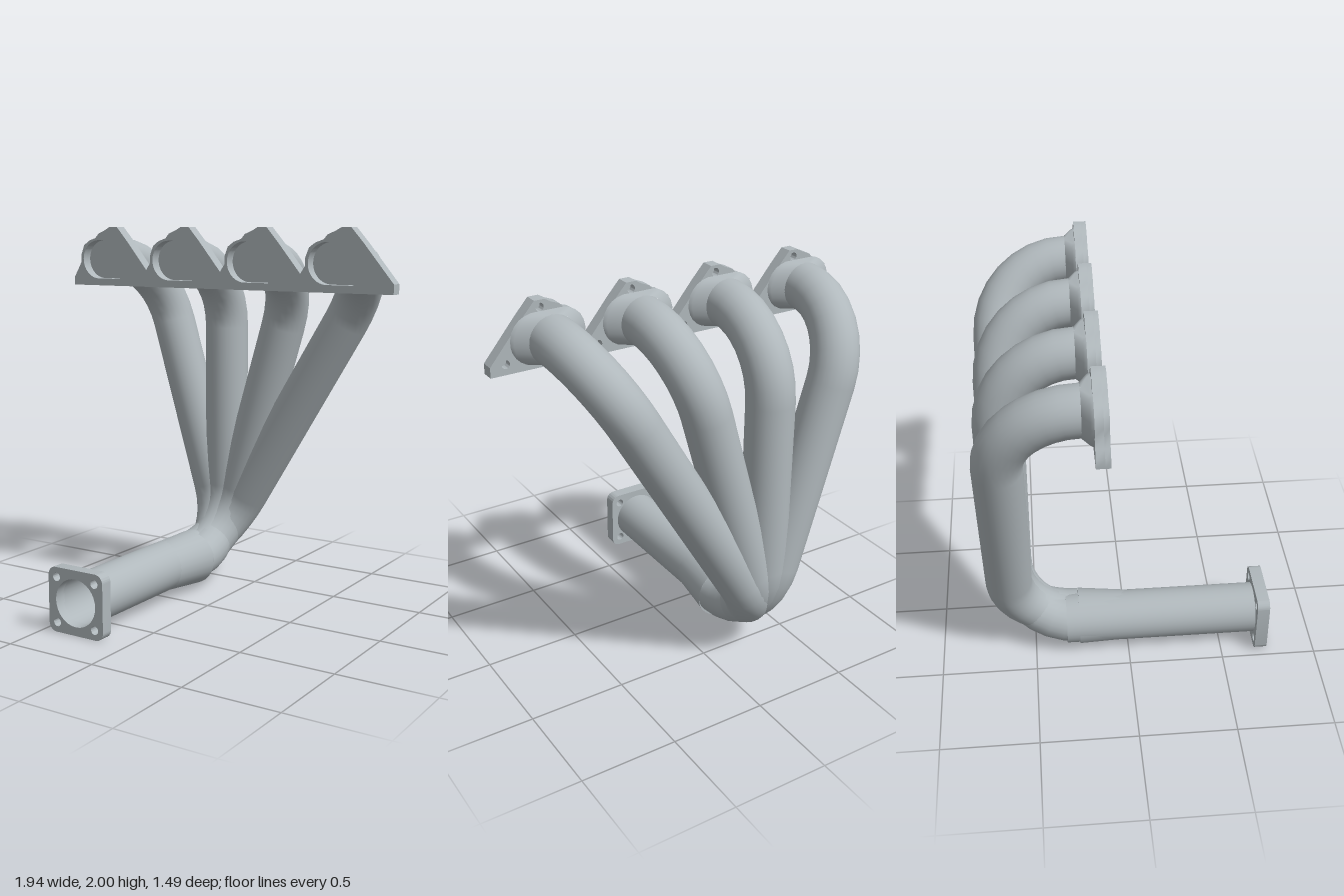
import * as THREE from 'three';
import { toCreasedNormals } from 'three/addons/utils/BufferGeometryUtils.js';

const SIDES = 24;
const V = (x, y, z) => new THREE.Vector3(x, y, z);

// Skin a list of equal-length closed rings.
function loft(rings) {
  const m = rings[0].length, index = [];
  for (let i = 0; i < rings.length - 1; i++) {
    for (let j = 0; j < m; j++) {
      const a = i * m + j, b = i * m + (j + 1) % m;
      index.push(a, b, a + m, b, b + m, a + m);
    }
  }
  const g = new THREE.BufferGeometry().setFromPoints(rings.flat());
  g.setIndex(index);
  g.computeVertexNormals();
  return g;
}

// Stadium ring in a z plane; flat = half length of its straight part.
function stadium(x, y, z, flat, rx, ry = rx) {
  return Array.from({ length: SIDES }, (_, j) => {
    const a = ((j + 0.5) / SIDES) * Math.PI * 2, c = -Math.cos(a);
    return V(x + Math.sign(c) * flat + rx * c, y + ry * Math.sin(a), z);
  });
}

// Pipe with two rounded corners, lying in one tilted plane.
function runnerGeometry(portX, endX) {
  const top = 1.82, bottom = 0.17, back = -0.623, r = 0.12;
  const d = V(endX - portX, bottom - top, 0).normalize();
  const z = V(0, 0, 1), n = d.clone().cross(z);
  const rings = [];
  const ring = (p, t) => {
    const b = t.clone().cross(n);
    rings.push(Array.from({ length: SIDES }, (_, j) => {
      const a = (j / SIDES) * Math.PI * 2;
      return p.clone().addScaledVector(n, r * Math.cos(a)).addScaledVector(b, r * Math.sin(a));
    }));
  };
  const bend = (corner, from, to, radius) => {
    for (let i = 0; i <= 8; i++) {
      const a = (i / 8) * Math.PI / 2, s = Math.sin(a), c = Math.cos(a);
      ring(corner.clone().addScaledVector(from, radius * (s - 1)).addScaledVector(to, radius * (1 - c)),
        from.clone().multiplyScalar(c).addScaledVector(to, s));
    }
  };
  ring(V(portX, top, -0.19), V(0, 0, -1));
  bend(V(portX, top, back), V(0, 0, -1), d, 0.38);
  bend(V(endX, bottom, back), d, z, 0.36);
  return loft(rings);
}

function circlePath(x, y, r) {
  return new THREE.Path().absarc(x, y, r, 0, Math.PI * 2, true);
}

function plate(shape, z0, z1) {
  const g = new THREE.ExtrudeGeometry(shape, { depth: z1 - z0, bevelEnabled: false, curveSegments: 16 });
  return toCreasedNormals(g.translate(0, 0, z0), 0.6);
}

export function createModel() {
  const model = new THREE.Group();
  const steel = new THREE.MeshStandardMaterial({ color: 0xb0b8bc });
  steel.name = 'steel grey';
  const add = (name, geometry) => {
    const mesh = new THREE.Mesh(geometry, steel);
    mesh.name = name;
    model.add(mesh);
    return mesh;
  };

  const ports = [-0.735, -0.265, 0.205, 0.675];
  const ends = [-0.245, -0.265, -0.275, -0.31];
  const portY = 1.823;

  // Scalloped head flange: the same lobe repeated over each port
  const lobe = [[-0.185, 1.81], [-0.185, 1.85], [-0.165, 1.9], [-0.13, 1.925], [-0.085, 1.94],
    [-0.063, 1.965], [-0.02, 1.982], [0.012, 2], [0.063, 2], [0.13, 1.925], [0.258, 1.77]];
  const outline = [[-0.97, 1.68], [-0.97, 1.725], [-0.945, 1.765]];
  ports.forEach((x, i) => {
    lobe.slice(0, i === 3 ? -1 : undefined).forEach(([px, py]) => outline.push([x + px, py]));
  });
  outline.push([0.967, 1.73], [0.967, 1.68]);
  const flange = (boltHoles) => {
    const s = new THREE.Shape(outline.map(([x, y]) => new THREE.Vector2(x, y)).reverse());
    for (const x of ports) {
      const hole = new THREE.Path();
      hole.absarc(x + 0.065, portY, 0.105, Math.PI / 2, -Math.PI / 2, true);
      hole.absarc(x - 0.065, portY, 0.105, -Math.PI / 2, -Math.PI * 1.5, true);
      hole.closePath();
      s.holes.push(hole);
      if (boltHoles) s.holes.push(circlePath(x + 0.037, 1.966, 0.02), circlePath(x + 0.215, 1.73, 0.02));
    }
    return s;
  };
  add('headFlangeFront', plate(flange(false), -0.155, -0.13));
  add('headFlangeBack', plate(flange(true), -0.195, -0.155));

  // Runners with flared oval collars and the port floors
  ports.forEach((x, i) => {
    add('runner' + (i + 1), runnerGeometry(x, ends[i]));
    add('runnerCollar' + (i + 1), loft([
      stadium(x, portY, -0.194, 0.065, 0.125),
      stadium(x, portY, -0.21, 0.055, 0.122),
      stadium(x, 1.82, -0.245, 0, 0.12),
    ]));
    const floor = new THREE.Shape(stadium(x, portY, 0, 0.065, 0.108).map((p) => new THREE.Vector2(p.x, p.y)));
    add('portFloor' + (i + 1), new THREE.ShapeGeometry(floor).translate(0, 0, -0.188));
  });

  // Collector pipe, open at the front
  const cx = -0.298, cy = 0.17;
  const tube = new THREE.Shape().absarc(cx, cy, 0.133, 0, Math.PI * 2, false);
  tube.holes.push(circlePath(cx, cy, 0.123));
  add('collectorPipe', plate(tube, -0.33, 0.69));
  add('collectorFloor', new THREE.CircleGeometry(0.125, 32).translate(cx, cy, -0.25));

  // Widening collar where the runners merge
  add('mergeCollar', loft([
    stadium(cx, cy, 0.02, 0, 0.131),
    stadium(-0.278, 0.163, -0.262, 0, 0.153, 0.148),
  ].reverse().map((ring) => ring.reverse())));
  const rear = new THREE.CircleGeometry(1, SIDES).scale(0.153, 0.148, 1).rotateY(Math.PI);
  add('mergeCollarEnd', rear.translate(-0.278, 0.163, -0.262));

  // Square outlet flange with four bolt holes
  const h = 0.168, r = 0.045, outlet = new THREE.Shape();
  [[1, 1], [-1, 1], [-1, -1], [1, -1]].forEach(([sx, sy], i) => {
    outlet.absarc(cx + sx * (h - r), cy + sy * (h - r), r, i * Math.PI / 2, (i + 1) * Math.PI / 2, false);
    outlet.holes.push(circlePath(cx + sx * 0.117, cy + sy * 0.117, 0.022));
  });
  outlet.closePath();
  outlet.holes.push(circlePath(cx, cy, 0.123));
  add('outletFlange', plate(outlet, 0.68, 0.745));

  return model;
}
